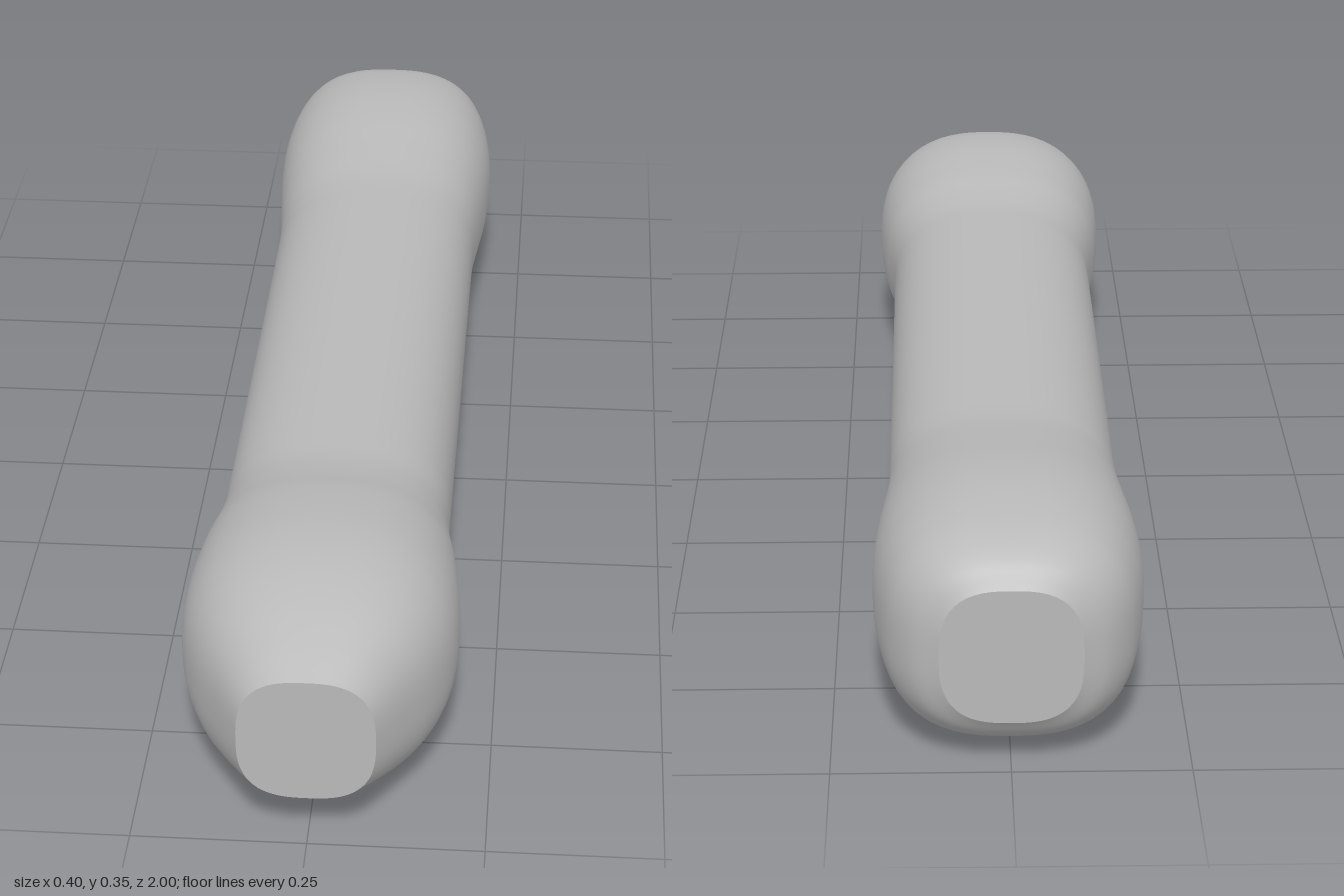
import * as THREE from 'three';

const SIDES = 64;
const CENTER_Y = 0.176;

// Rounded-square outline; a higher power gives squarer corners
function outline(w, h, power) {
  const points = [];
  for (let i = 0; i < SIDES; i++) {
    const a = (i / SIDES) * Math.PI * 2;
    const c = Math.cos(a), s = Math.sin(a);
    const r = Math.pow(Math.pow(Math.abs(c), power) + Math.pow(Math.abs(s), power), -1 / power);
    points.push(new THREE.Vector2(w * r * c, h * r * s));
  }
  return points;
}

// Smooth series of sections (z, half width, half height)
function sections(list, steps) {
  const curve = new THREE.CatmullRomCurve3(list.map((p) => new THREE.Vector3(...p)), false, 'centripetal');
  return curve.getPoints(steps);
}

const powerAt = (z) => 2.45 + 0.35 * Math.max(0, (Math.abs(z) - 0.8) / 0.2);

// Skin running from front to back through all the sections
function loft(rings) {
  const positions = [], index = [];
  rings.forEach((ring) => {
    for (const p of outline(ring.y, ring.z, powerAt(ring.x))) positions.push(p.x, p.y, ring.x);
  });
  for (let i = 0; i < rings.length - 1; i++) {
    for (let j = 0; j < SIDES; j++) {
      const k = (j + 1) % SIDES;
      const a = i * SIDES + j, b = i * SIDES + k;
      const c = a + SIDES, d = b + SIDES;
      index.push(a, c, b, b, c, d);
    }
  }
  const geometry = new THREE.BufferGeometry();
  geometry.setAttribute('position', new THREE.Float32BufferAttribute(positions, 3));
  geometry.setIndex(index);
  geometry.computeVertexNormals();
  return geometry;
}

export function createModel() {
  const group = new THREE.Group();
  group.name = 'grip';
  const grey = new THREE.MeshStandardMaterial({ color: 0xb8b8b8 });
  grey.name = 'grey';

  // Front bulge tapers to its end; back bulge is blunter
  const front = sections([
    [1, 0.097, 0.097], [0.94, 0.133, 0.126], [0.87, 0.171, 0.154], [0.8, 0.194, 0.171],
    [0.72, 0.2, 0.176], [0.6, 0.191, 0.164], [0.53, 0.18, 0.15], [0.47, 0.173, 0.142], [0.4, 0.172, 0.141],
  ], 48);
  const back = sections([
    [-0.44, 0.172, 0.141], [-0.5, 0.174, 0.143], [-0.6, 0.182, 0.156], [-0.7, 0.19, 0.17],
    [-0.79, 0.192, 0.175], [-0.87, 0.184, 0.169], [-0.93, 0.168, 0.156], [-0.975, 0.138, 0.131], [-1, 0.099, 0.1],
  ], 48);

  const body = new THREE.Mesh(loft([...front, ...back]), grey);
  body.name = 'body';
  body.position.y = CENTER_Y;
  group.add(body);

  // Flat end faces
  for (const [name, ring, turn] of [['frontEnd', front[0], 0], ['backEnd', back[back.length - 1], Math.PI]]) {
    const shape = new THREE.Shape(outline(ring.y, ring.z, powerAt(ring.x)));
    const cap = new THREE.Mesh(new THREE.ShapeGeometry(shape), grey);
    cap.name = name;
    cap.position.set(0, CENTER_Y, ring.x);
    cap.rotation.y = turn;
    group.add(cap);
  }
  return group;
}
